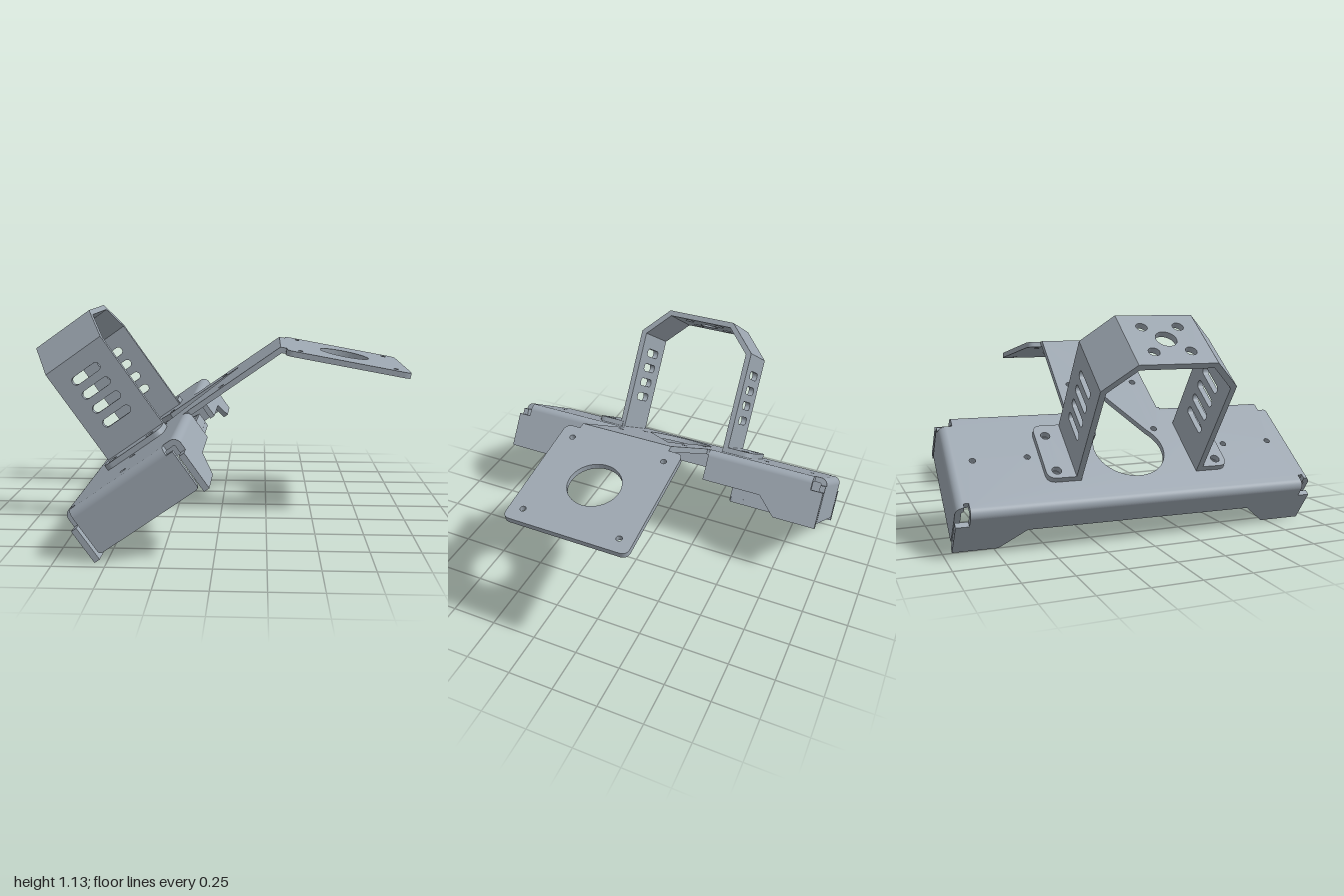
import * as THREE from 'three';

const T = 0.03; // sheet thickness
const TOP = 0.585; // height of the base plate's upper face
const material = new THREE.MeshStandardMaterial({ color: 0x9ca6b0 });

const polygon = (pts) => new THREE.Shape(pts.map(([x, y]) => new THREE.Vector2(x, y)));

// Rectangle with an individual radius per corner: bottom-left, bottom-right, top-right, top-left
function roundedRect(x0, y0, x1, y1, [a, b, c, d]) {
  const s = new THREE.Shape();
  s.moveTo(x0 + a, y0);
  s.lineTo(x1 - b, y0); s.quadraticCurveTo(x1, y0, x1, y0 + b);
  s.lineTo(x1, y1 - c); s.quadraticCurveTo(x1, y1, x1 - c, y1);
  s.lineTo(x0 + d, y1); s.quadraticCurveTo(x0, y1, x0, y1 - d);
  s.lineTo(x0, y0 + a); s.quadraticCurveTo(x0, y0, x0 + a, y0);
  return s;
}

function hole(shape, x, y, r) {
  const p = new THREE.Path();
  p.absarc(x, y, r, 0, Math.PI * 2, true);
  shape.holes.push(p);
}

function slot(shape, x, y, length, height) {
  const p = new THREE.Path(), r = height / 2, h = length / 2 - r;
  p.absarc(x + h, y, r, -Math.PI / 2, Math.PI / 2, false);
  p.absarc(x - h, y, r, Math.PI / 2, Math.PI * 1.5, false);
  shape.holes.push(p);
}

const extrude = (shape, depth) =>
  new THREE.ExtrudeGeometry(shape, { depth, bevelEnabled: false, curveSegments: 20 });

function add(parent, name, geometry, x = 0, y = 0, z = 0) {
  const mesh = new THREE.Mesh(geometry, material);
  mesh.name = name;
  mesh.position.set(x, y, z);
  parent.add(mesh);
}

// Sheet lying flat: shape is drawn in (x, z), thickness goes down from y = 0
const flat = (shape) => extrude(shape, T).rotateX(Math.PI / 2);
// Sheet facing x: shape is drawn in (z, y), centred thickness
const facingX = (shape, depth = T) => extrude(shape, depth).translate(0, 0, -depth / 2).rotateY(-Math.PI / 2);

// Quarter-round sheet bend running along z, from upward to +x
function bend(length, r = 0.04) {
  const s = new THREE.Shape();
  s.absarc(0, 0, r, 0, Math.PI / 2, false);
  s.absarc(0, 0, r - T, Math.PI / 2, 0, true);
  return extrude(s, length).translate(0, 0, -length / 2);
}

function buildBase(model) {
  const bendY = TOP - 0.04;
  // Top plate and arm cut from one sheet, with relief notches in the corners
  const half = [[0.8, 0.25], [0.2, 0.265], [0.2, 0.28], [0.17, 0.28], [0.17, 0.885],
    [0.135, 0.885], [0.135, 0.915], [-0.375, 0.915], [-0.375, 0.89], [-0.405, 0.89]];
  const sheet = polygon([...half, ...half.map(([x, z]) => [x, -z]).reverse()]);
  // Keyhole: round opening running into the arm's long window
  const key = new THREE.Path(), a = Math.asin(0.145 / 0.19);
  key.moveTo(0.523, 0.135);
  key.absarc(-0.098, 0, 0.19, a, Math.PI * 2 - a, false);
  key.lineTo(0.523, -0.135);
  sheet.holes.push(key);
  for (const s of [1, -1]) {
    hole(sheet, 0.414, s * 0.19, 0.017);
    hole(sheet, 0.035, s * 0.19, 0.017);
    hole(sheet, -0.11, s * 0.55, 0.016);
    hole(sheet, -0.11, s * 0.825, 0.016);
    hole(sheet, -0.24, s * 0.435, 0.022);
    hole(sheet, 0, s * 0.435, 0.022);
  }
  add(model, 'basePlateAndArm', flat(sheet), 0, TOP, 0);

  // Rear flange with deeper ends
  const drop = [[0.89, bendY], [0.89, 0.5], [0.955, 0.5], [0.955, 0.315], [0.73, 0.315], [0.6, 0.435]];
  const rear = polygon([...drop, ...drop.map(([z, y]) => [-z, y]).reverse()]);
  add(model, 'rearFlange', facingX(rear), -0.43);
  add(model, 'rearBend', bend(1.78).rotateY(Math.PI), -0.405, bendY, 0);

  for (const s of [1, -1]) {
    // Front flange, one on either side of the arm
    const front = polygon([[0.28, bendY], [0.885, bendY], [0.885, 0.51], [0.955, 0.51],
      [0.955, 0.31], [0.72, 0.31], [0.62, 0.41], [0.28, 0.41]].map(([z, y]) => [z * s, y]));
    add(model, 'frontFlange', facingX(front), 0.195);
    add(model, 'frontBend', bend(0.605), 0.17, bendY, s * 0.5825);
    // End flange
    const end = roundedRect(-0.4, 0.335, 0.17, bendY, [0.02, 0.02, 0, 0]);
    add(model, 'endFlange', extrude(end, T), 0, 0, s * 0.94 - T / 2);
    add(model, 'endBend', bend(0.535).rotateY(-s * Math.PI / 2), -0.1325, bendY, s * 0.915);
  }
}

// Box bracket hanging below the plate, with four mounting holes in its floor
function buildBracket(model, s) {
  const g = new THREE.Group();
  g.name = 'lowerBracket';
  g.position.z = s * 0.62;
  model.add(g);
  const floor = roundedRect(-0.27, -0.2, 0.045, 0.2, [0.02, 0.02, 0.02, 0.02]);
  for (const x of [-0.223, -0.035]) for (const z of [-0.075, 0.075]) hole(floor, x, z, 0.014);
  add(g, 'bracketFloor', flat(floor), 0, 0.343, 0);
  add(g, 'bracketFront', new THREE.BoxGeometry(0.025, 0.09, 0.38), 0.032, 0.365, 0);
  add(g, 'bracketBack', new THREE.BoxGeometry(0.025, 0.235, 0.38), -0.257, 0.44, 0);
  const cheek = polygon([[-0.265, 0.32], [0.04, 0.32], [0.04, 0.41], [-0.1, 0.43], [-0.2, 0.56], [-0.265, 0.56]]);
  for (const z of [-0.1875, 0.1875]) add(g, 'bracketCheek', extrude(cheek, 0.025), 0, 0, z - 0.0125);
}

function buildYoke(model) {
  const g = new THREE.Group();
  g.name = 'yoke';
  model.add(g);
  const x0 = -0.29, x1 = 0.07, xc = -0.11;
  // Crown with a centre hole and four mounting holes
  const crown = polygon([[x0, -0.198], [x1, -0.198], [x1, 0.198], [x0, 0.198]]);
  hole(crown, xc, 0, 0.052);
  for (const dx of [-0.09, 0.09]) for (const z of [-0.093, 0.093]) hole(crown, xc + dx, z, 0.028);
  add(g, 'yokeCrown', flat(crown), 0, 1.322, 0);

  for (const s of [1, -1]) {
    // Slanted shoulder
    const shoulder = polygon([[0.198, 1.322], [0.345, 1.172], [0.315, 1.16], [0.186, 1.292]]
      .map(([z, y]) => [z * s, y]));
    add(g, 'yokeShoulder', facingX(shoulder, x1 - x0), xc);
    // Slotted leg
    const leg = polygon([[x0, TOP], [x1, TOP], [x1, 1.172], [x0, 1.172]]);
    for (let i = 0; i < 4; i++) slot(leg, xc, 0.783 + i * 0.091, 0.175, 0.046);
    add(g, 'yokeLeg', extrude(leg, T), 0, 0, s * 0.33 - T / 2);
    // Foot screwed to the base plate
    const foot = roundedRect(x0, 0.33, x1 + 0.005, 0.49, [0, 0, 0.05, 0.05]);
    hole(foot, -0.24, 0.435, 0.024);
    hole(foot, 0, 0.435, 0.024);
    const geometry = flat(foot);
    if (s < 0) geometry.rotateX(Math.PI).translate(0, -T, 0);
    add(g, 'yokeFoot', geometry, 0, TOP + T, 0);
  }
}

// Square plate at the end of the arm, bent downward
function buildEndPlate(model) {
  const g = new THREE.Group();
  g.name = 'armEndPlate';
  g.position.set(0.8, TOP, 0);
  g.rotation.z = THREE.MathUtils.degToRad(-45.4);
  model.add(g);
  const plate = roundedRect(0.033, -0.328, 0.69, 0.328, [0.04, 0.04, 0.04, 0.04]);
  hole(plate, 0.362, 0, 0.135);
  for (const x of [0.108, 0.615]) for (const z of [-0.255, 0.255]) hole(plate, x, z, 0.015);
  add(g, 'mountPlate', flat(plate));
  add(g, 'plateNeck', flat(polygon([[0, -0.25], [0.033, -0.25], [0.033, 0.25], [0, 0.25]])));
}

export function createModel() {
  const model = new THREE.Group();
  model.name = 'bentSheetMount';
  buildBase(model);
  for (const s of [1, -1]) buildBracket(model, s);
  buildYoke(model);
  buildEndPlate(model);
  // The whole assembly leans back, with a very slight twist
  model.rotation.order = 'ZYX';
  model.rotation.set(0, -0.013, THREE.MathUtils.degToRad(35));
  const root = new THREE.Group();
  root.name = 'mount';
  root.add(model);
  return root;
}
